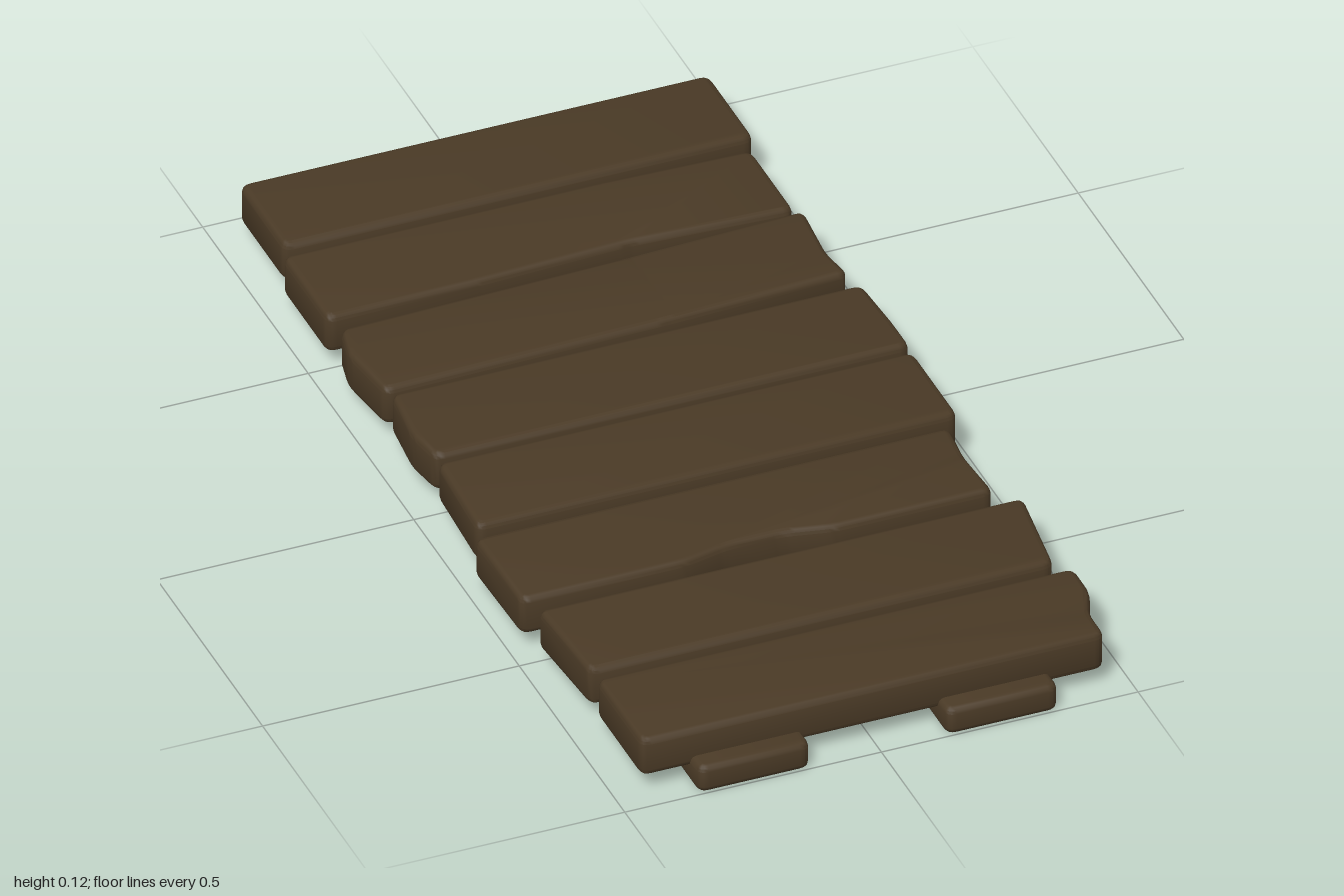
import * as THREE from 'three';
import { toCreasedNormals } from 'three/addons/utils/BufferGeometryUtils.js';

const wood = new THREE.MeshStandardMaterial({ color: 0x4a3a26 });
const BEVEL = 0.012;

// Board with softened edges: an outline of [x, z] corners, filled from y0 to y1
function board(name, outline, y0, y1) {
  const pts = outline.map(([x, z]) => new THREE.Vector2(x, -z));
  const n = pts.length;
  const shape = new THREE.Shape();
  pts.forEach((p, i) => {
    const toward = (q) => p.clone().add(q.clone().sub(p).setLength(0.02));
    const a = toward(pts[(i + n - 1) % n]);
    const b = toward(pts[(i + 1) % n]);
    if (i === 0) shape.moveTo(a.x, a.y);
    else shape.lineTo(a.x, a.y);
    shape.quadraticCurveTo(p.x, p.y, b.x, b.y);
  });
  shape.closePath();
  const geo = new THREE.ExtrudeGeometry(shape, {
    depth: y1 - y0 - 2 * BEVEL,
    bevelEnabled: true,
    bevelSize: BEVEL,
    bevelThickness: BEVEL,
    bevelOffset: -BEVEL,
    bevelSegments: 3,
    curveSegments: 4,
  });
  geo.rotateX(-Math.PI / 2);
  geo.translate(0, y0 + BEVEL, 0);
  const mesh = new THREE.Mesh(toCreasedNormals(geo, 0.7), wood);
  mesh.name = name;
  return mesh;
}

// Plank outlines from back to front, each with its own worn ends and edges
const planks = [
  [[-0.45, -0.95], [-0.45, -0.735], [0.465, -0.735], [0.465, -0.95]],
  [[-0.465, -0.71], [-0.465, -0.495], [-0.16, -0.5], [0.13, -0.512], [0.445, -0.495], [0.445, -0.7], [0.15, -0.71]],
  [[-0.455, -0.458], [-0.472, -0.38], [-0.455, -0.245], [0.1, -0.257], [0.46, -0.273], [0.448, -0.35], [0.46, -0.488], [0.1, -0.472]],
  [[-0.45, -0.232], [-0.463, -0.1], [-0.45, -0.018], [0.475, -0.018], [0.475, -0.1], [0.468, -0.232]],
  [[-0.455, 0], [-0.465, 0.215], [0.472, 0.215], [0.472, 0]],
  [[-0.485, 0.247], [-0.48, 0.462], [-0.16, 0.462], [-0.07, 0.442], [0.04, 0.442], [0.13, 0.462], [0.44, 0.462], [0.432, 0.34], [0.442, 0.247]],
  [[-0.465, 0.5], [-0.45, 0.715], [0.453, 0.715], [0.481, 0.502]],
  [[-0.45, 0.742], [-0.45, 0.958], [0.453, 0.958], [0.453, 0.885], [0.48, 0.82], [0.48, 0.742]],
];

export function createModel() {
  const model = new THREE.Group();
  model.name = 'plankWalkway';

  // Two long rails underneath
  for (const [name, x0, x1] of [['rightRail', -0.355, -0.137], ['leftRail', 0.128, 0.346]]) {
    model.add(board(name, [[x0, -1], [x0, 1], [x1, 1], [x1, -1]], 0, 0.056));
  }

  // Cross planks resting on the rails
  planks.forEach((outline, i) => model.add(board(`plank${i + 1}`, outline, 0.035, 0.115)));
  return model;
}
